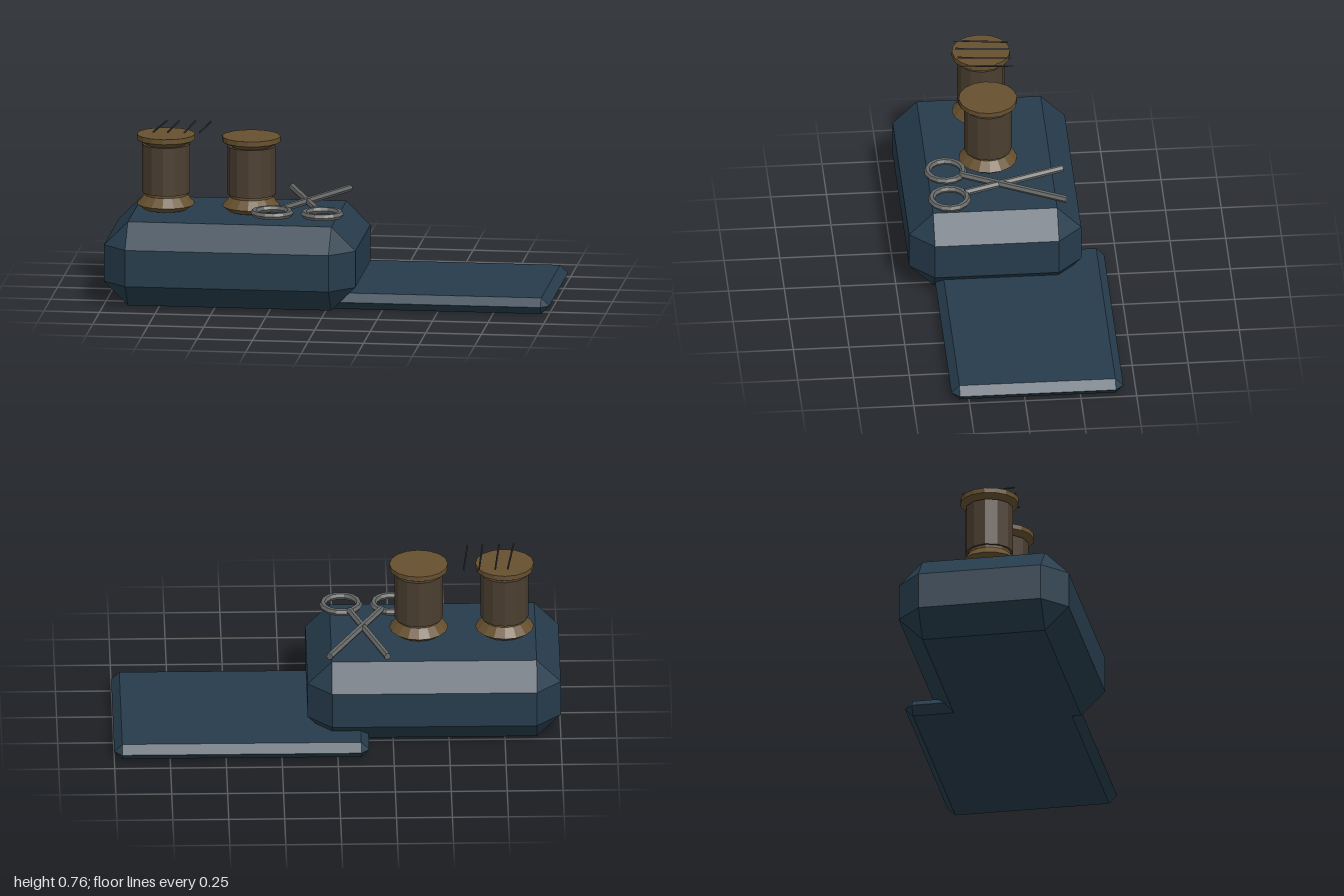
import * as THREE from 'three';
import { ConvexGeometry } from 'three/addons/geometries/ConvexGeometry.js';

function material(name, color) {
  const m = new THREE.MeshStandardMaterial({ color, flatShading: true });
  m.name = name;
  return m;
}

// Box between two corners with every edge chamfered by c
function chamferBox(min, max, c) {
  const mid = min.map((v, i) => (v + max[i]) / 2);
  const half = max.map((v, i) => (v - min[i]) / 2);
  const points = [];
  for (const sx of [-1, 1]) for (const sy of [-1, 1]) for (const sz of [-1, 1]) {
    for (let axis = 0; axis < 3; axis++) {
      const p = [sx, sy, sz].map((s, i) => mid[i] + s * (half[i] - (i === axis ? 0 : c)));
      points.push(new THREE.Vector3(...p));
    }
  }
  return new ConvexGeometry(points);
}

// Straight bar between two points
function bar(a, b, radius, sides) {
  const start = new THREE.Vector3(...a), end = new THREE.Vector3(...b);
  const dir = end.clone().sub(start);
  const geo = new THREE.CylinderGeometry(radius, radius, dir.length(), sides);
  geo.applyQuaternion(new THREE.Quaternion().setFromUnitVectors(
    new THREE.Vector3(0, 1, 0), dir.normalize()));
  const c = start.add(end).multiplyScalar(0.5);
  return geo.translate(c.x, c.y, c.z);
}

function lathe(profile, sides) {
  return new THREE.LatheGeometry(profile.map(([r, y]) => new THREE.Vector2(r, y)), sides);
}

export function createModel() {
  const model = new THREE.Group();
  model.name = 'sewingSet';
  const cloth = material('dark blue cloth', 0x263c4c);
  const wood = material('wood', 0x66502f);
  const thread = material('brown thread', 0x4b3e30);
  const steel = material('steel', 0x666967);
  const needleSteel = material('dark needle steel', 0x343a3e);

  const add = (parent, name, geo, mat) => {
    const mesh = new THREE.Mesh(geo, mat);
    mesh.name = name;
    parent.add(mesh);
    return mesh;
  };
  const group = (name) => {
    const g = new THREE.Group();
    g.name = name;
    model.add(g);
    return g;
  };

  // Cushion and the flat mat beside it
  add(model, 'cushion', chamferBox([-1, 0, -0.33], [0.132, 0.382, 0.442], 0.108), cloth);
  add(model, 'mat', chamferBox([-0.14, 0, -0.443], [1, 0.073, 0.328], 0.036), cloth);

  // Thread spools
  for (const x of [-0.754, -0.37]) {
    const spool = group('spool');
    spool.position.set(x, 0, 0.057);
    add(spool, 'lowerFlange',
      lathe([[0, 0.388], [0.098, 0.388], [0.131, 0.412], [0.096, 0.452], [0.096, 0.468], [0, 0.468]], 16), wood);
    add(spool, 'threadWinding',
      new THREE.CylinderGeometry(0.108, 0.108, 0.22, 12).translate(0, 0.574, 0), thread);
    add(spool, 'upperFlange',
      lathe([[0, 0.682], [0.086, 0.682], [0.131, 0.706], [0.131, 0.729], [0, 0.729]], 16), wood);
  }

  // Four needles floating above the first spool
  const needles = group('needles');
  const needleEnds = [[-0.797, -0.766], [-0.732, -0.71], [-0.658, -0.637], [-0.59, -0.568]];
  needleEnds.forEach(([x0, x1], i) => {
    const shift = -0.004 * i;
    add(needles, 'needle', bar([x0, 0.761, 0.178 + shift], [x1, 0.761, -0.062 + shift], 0.004, 6), needleSteel);
  });

  // Open scissors: two crossed blades ending in finger rings
  const scissors = group('scissors');
  const halves = [
    { tip: [0.035, 0.432, -0.265], end: [-0.208, 0.432, 0.195], ring: [-0.252, 0.424, 0.257] },
    { tip: [-0.225, 0.43, -0.265], end: [-0.062, 0.43, 0.185], ring: [-0.026, 0.424, 0.257] },
  ];
  for (const { tip, end, ring } of halves) {
    add(scissors, 'blade', bar(tip, end, 0.016, 6), steel);
    const loop = add(scissors, 'fingerRing',
      new THREE.TorusGeometry(0.081, 0.016, 6, 14).rotateX(Math.PI / 2), steel);
    loop.position.set(...ring);
  }

  return model;
}
